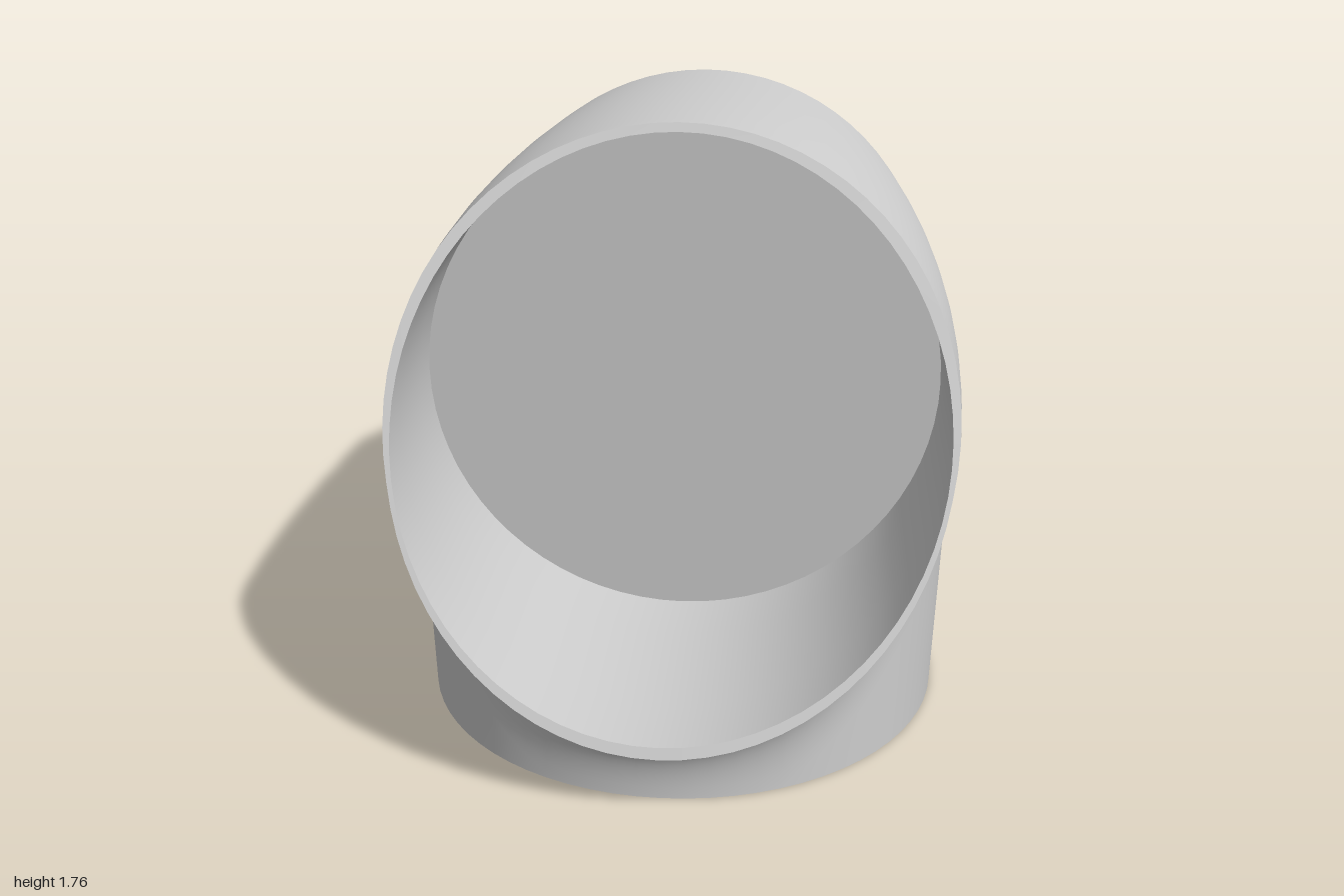
import * as THREE from 'three';

const SIDES = 72;
const BASE_R = 0.785, BASE_Z = 0.105;

export function createModel() {
  const group = new THREE.Group();
  const grey = new THREE.MeshStandardMaterial({ color: 0xcccccc });
  grey.name = 'light grey';

  // Skins a closed surface through count + 1 rings; point(angle, t) gives [x, y, z]
  function loft(name, count, point) {
    const pos = [], index = [];
    for (let j = 0; j <= count; j++) {
      for (let i = 0; i < SIDES; i++) pos.push(...point((i / SIDES) * Math.PI * 2, j / count));
    }
    for (let j = 0; j < count; j++) {
      for (let i = 0; i < SIDES; i++) {
        const a = j * SIDES + i, b = j * SIDES + (i + 1) % SIDES;
        index.push(a, b, b + SIDES, a, b + SIDES, a + SIDES);
      }
    }
    const geo = new THREE.BufferGeometry();
    geo.setAttribute('position', new THREE.Float32BufferAttribute(pos, 3));
    geo.setIndex(index);
    geo.computeVertexNormals();
    const mesh = new THREE.Mesh(geo, grey);
    mesh.name = name;
    group.add(mesh);
  }
  const lerp = THREE.MathUtils.lerp;

  // Barrel section: slightly swollen sideways in the middle, angle 0 at the bottom
  const halfWidth = (z) => Math.max(0.78, 0.82 - (z < 0 ? 0.05 : 0.08) * z * z);
  function barrel(a, z) {
    const t = THREE.MathUtils.clamp(z + 0.9, 0, 1);
    const cy = 0.95 + 0.03 * Math.sin(t * Math.PI / 2);
    return [halfWidth(z) * Math.sin(a), cy - (0.78 + 0.005 * t) * Math.cos(a), z];
  }
  // Slanted front cut
  const cutZ = (y) => 0.635 - 0.468 * (y - 0.98);
  const rimZ = (a) => cutZ(0.98 - 0.785 * Math.cos(a));
  function innerRim(a) {
    const y = 0.982 - 0.758 * Math.cos(a);
    return [0.768 * Math.sin(a), y, cutZ(y)];
  }
  const ringZ = (a, r, y, z) => [r * Math.sin(a), y - r * Math.cos(a), z];
  const ringY = (a, r, y) => [r * Math.sin(a), y, BASE_Z + r * Math.cos(a)];

  loft('barrel', 20, (a, t) => barrel(a, lerp(-0.9, rimZ(a), t)));

  // Front opening: rim, bore and closing disc
  loft('frontRim', 1, (a, t) => (t ? innerRim(a) : barrel(a, rimZ(a))));
  loft('bore', 4, (a, t) => {
    const p = innerRim(a);
    p[2] = lerp(p[2], 0.15, t);
    return p;
  });
  loft('boreDisc', 1, (a, t) => {
    const p = innerRim(a);
    return [p[0] * (1 - t), lerp(p[1], 0.982, t), 0.15];
  });

  // Back shoulder and stepped plug
  loft('backShoulder', 1, (a, t) => (t ? barrel(a, -0.9) : ringZ(a, 0.745, 0.947, -0.9)));
  loft('backPlug', 1, (a, t) => ringZ(a, 0.745, 0.947, lerp(-1, -0.9, t)));
  loft('backDisc', 1, (a, t) => ringZ(a, 0.745 * t, 0.947, -1));

  // Round base: vertical wall that flares into the barrel with a fillet
  const STEPS = 16;
  loft('baseSkirt', STEPS, (a, t) => {
    const c = Math.cos(a), z0 = BASE_Z + BASE_R * c;
    const flare = c * (c > 0 ? 0.11 : 0.17) + 0.2 * c * Math.abs(Math.sin(a));
    const zTop = Math.max(-0.9, Math.min(z0 + flare, rimZ(a)));
    const yTop = barrel(c > 0 ? a : Math.PI - a, zTop)[1];
    const start = Math.max(0.01, yTop - 0.25);
    const s = Math.max(0, (t * STEPS - 1) / (STEPS - 1));
    const y = t === 0 ? 0 : lerp(start, yTop, 1 - (1 - s) * (1 - s));
    const x = lerp(BASE_R, halfWidth(zTop), y / yTop) * Math.sin(a);
    return [x, y, lerp(z0, zTop, s * s)];
  });

  // Shallow recess under the base
  loft('baseRim', 1, (a, t) => ringY(a, lerp(0.748, BASE_R, t), 0));
  loft('recessWall', 1, (a, t) => ringY(a, 0.748, lerp(0.1, 0, t)));
  loft('recessDisc', 1, (a, t) => ringY(a, 0.748 * t, 0.1));

  return group;
}
